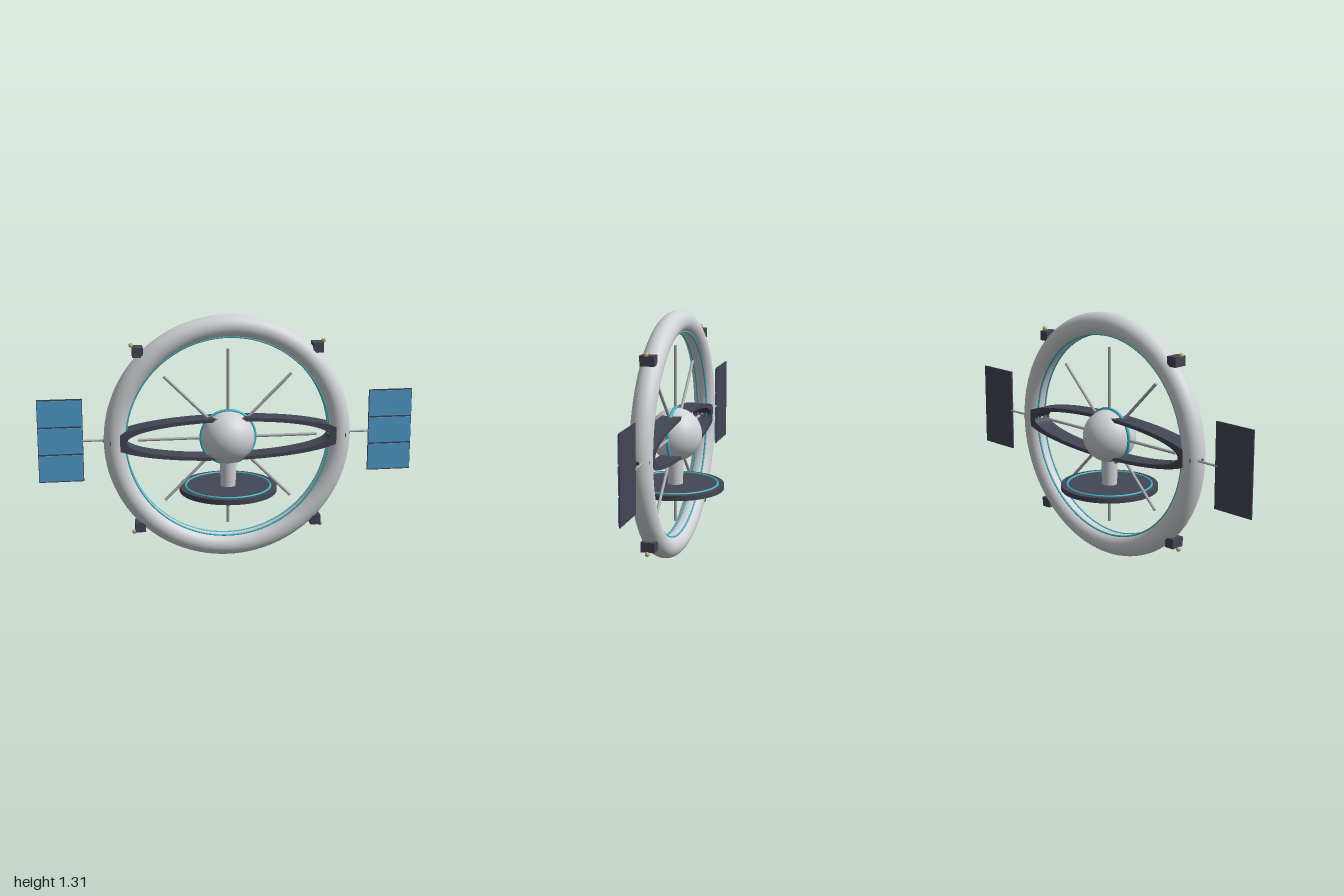
import * as THREE from 'three';

const CY = 0.657; // height of the station's centre

function mat(name, color) {
  const m = new THREE.MeshStandardMaterial({ color });
  m.name = name;
  return m;
}

export function createModel() {
  const hull = mat('hull grey', 0xd0d2d6);
  const dark = mat('dark slate', 0x434654);
  const teal = mat('teal trim', 0x3fb4c4);
  const metal = mat('rod metal', 0xa9abb0);
  const blue = mat('solar blue', 0x519fd0);
  const gold = mat('beacon gold', 0xc9ab70);

  const model = new THREE.Group();
  model.name = 'spaceStation';
  const add = (name, geometry, material, x = 0, y = 0, z = 0) => {
    const mesh = new THREE.Mesh(geometry, material);
    mesh.name = name;
    mesh.position.set(x, y, z);
    model.add(mesh);
    return mesh;
  };

  // Main habitat ring with two trim rings on its inner wall
  add('habitatRing', new THREE.TorusGeometry(0.598, 0.059, 32, 128), hull, 0, CY, 0);
  for (const z of [-0.025, 0.025]) {
    add('innerTrim', new THREE.TorusGeometry(0.543, 0.005, 8, 128), teal, 0, CY, z);
  }

  // Flat elliptical band across the ring
  const band = new THREE.Shape();
  band.absellipse(0, 0, 0.626, 0.114, 0, Math.PI * 2);
  const hole = new THREE.Path();
  hole.absellipse(0, 0, 0.54, 0.096, 0, Math.PI * 2, true);
  band.holes.push(hole);
  const bandGeo = new THREE.ExtrudeGeometry(band, { depth: 0.108, bevelEnabled: false, curveSegments: 96 });
  bandGeo.translate(0, 0, -0.054);
  add('ellipticalBand', bandGeo, dark, 0, CY, 0);

  // Core sphere and collar
  add('coreSphere', new THREE.SphereGeometry(0.141, 48, 32), hull, 0, CY, 0);
  add('coreCollar', new THREE.TorusGeometry(0.144, 0.009, 12, 64), teal, 0, CY, 0);

  // Eight spokes
  for (let i = 0; i < 8; i++) {
    const a = (i * Math.PI) / 4;
    const spoke = add('spoke', new THREE.CylinderGeometry(0.008, 0.008, 0.38, 12), metal,
      Math.cos(a) * 0.287, CY + Math.sin(a) * 0.287, 0);
    spoke.rotation.z = a - Math.PI / 2;
  }

  // Docking stem and platform
  add('dockingStem', new THREE.CylinderGeometry(0.046, 0.04, 0.18, 32), hull, 0, 0.475, 0);
  add('dockingPlatform', new THREE.CylinderGeometry(0.26, 0.26, 0.027, 64), dark, 0, 0.376, 0);
  const trim = add('platformTrim', new THREE.TorusGeometry(0.226, 0.006, 8, 96), teal, 0, 0.39, 0);
  trim.rotation.x = Math.PI / 2;

  for (const sx of [-1, 1]) {
    // Thruster pods with beacon balls
    for (const sy of [-1, 1]) {
      add('thrusterPod', new THREE.BoxGeometry(0.055, 0.052, 0.075), dark, sx * 0.473, CY + sy * 0.475, 0);
      add('beacon', new THREE.SphereGeometry(0.012, 16, 12), gold, sx * 0.506, CY + sy * 0.508, 0);
    }

    // Solar wing: socket, arm, backing plate and three cells
    const socket = add('armSocket', new THREE.CylinderGeometry(0.01, 0.01, 0.02, 12), dark, sx * 0.647, CY, 0);
    socket.rotation.z = Math.PI / 2;
    const arm = add('panelArm', new THREE.CylinderGeometry(0.006, 0.006, 0.16, 12), metal, sx * 0.7, CY, -0.022);
    arm.rotation.z = Math.PI / 2;
    add('panelBacking', new THREE.BoxGeometry(0.236, 0.448, 0.006), dark, sx * 0.882, CY + 0.003, -0.024);
    for (let i = -1; i <= 1; i++) {
      add('solarCell', new THREE.BoxGeometry(0.23, 0.139, 0.005), blue, sx * 0.882, CY + 0.003 + i * 0.148, -0.0185);
    }
  }
  return model;
}
